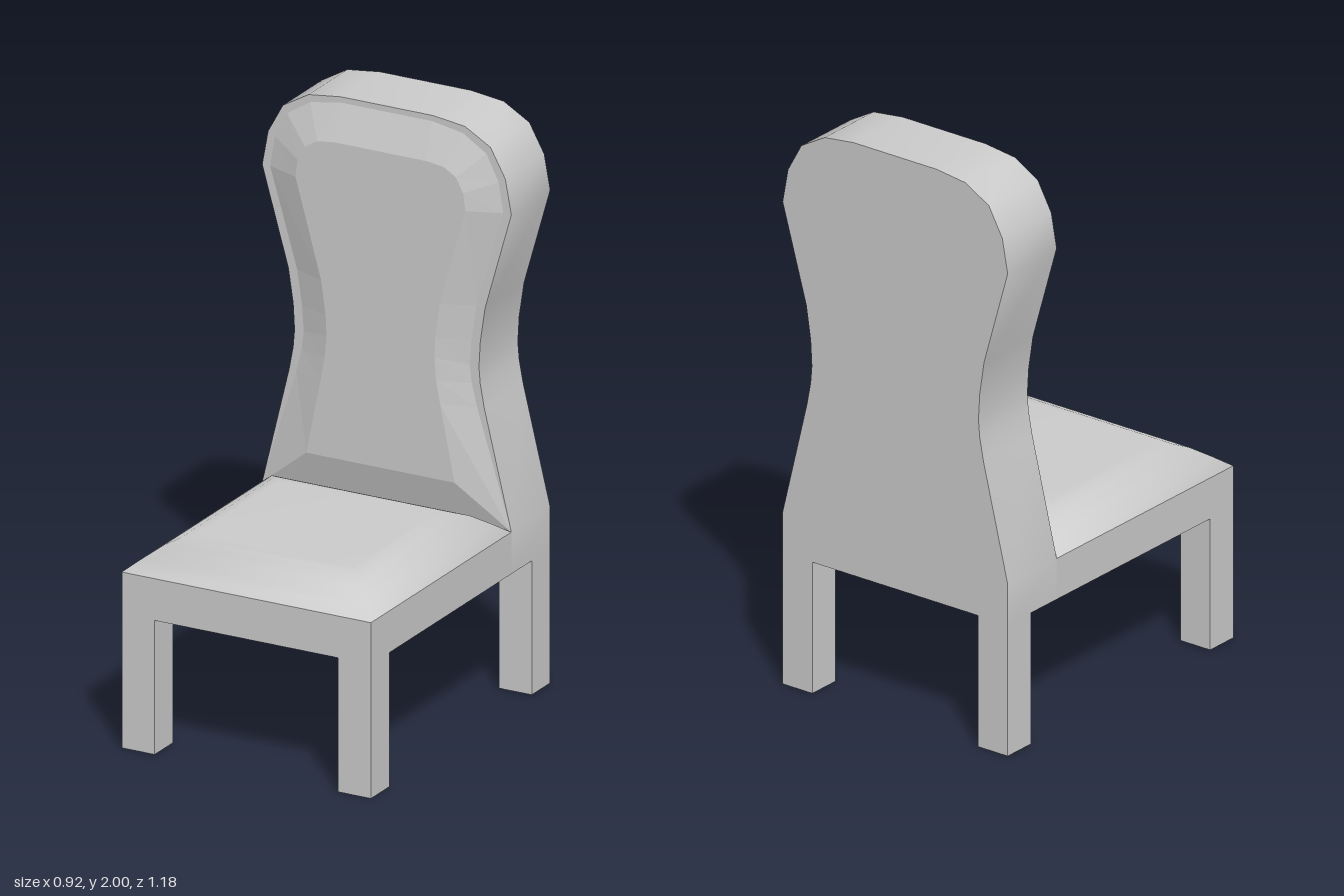
import * as THREE from 'three';
import { toCreasedNormals } from 'three/addons/utils/BufferGeometryUtils.js';

// Right half of an outline, listed bottom to top, closed by its mirror image
const mirrored = (half) => [...half, ...half.map(([x, y]) => [-x, y]).reverse()];

// Skin stacked rings (each { pts: [[x, y]...], z }) and close the last one with a fan
function loft(rings, [cx, cy]) {
  const n = rings[0].pts.length;
  const pos = [], idx = [];
  for (const { pts, z } of rings) for (const [x, y] of pts) pos.push(x, y, z);
  const last = (rings.length - 1) * n;
  const centre = rings.length * n;
  pos.push(cx, cy, rings[rings.length - 1].z);
  for (let i = 0; i < n; i++) {
    const j = (i + 1) % n;
    for (let r = 0; r < last; r += n) {
      idx.push(r + i, r + j, r + n + j, r + i, r + n + j, r + n + i);
    }
    idx.push(last + i, last + j, centre);
  }
  const geo = new THREE.BufferGeometry();
  geo.setAttribute('position', new THREE.Float32BufferAttribute(pos, 3));
  geo.setIndex(idx);
  geo.computeVertexNormals();
  return geo;
}

export function createModel() {
  const chair = new THREE.Group();
  chair.name = 'chair';
  const smooth = new THREE.MeshStandardMaterial({ color: 0xcccccc });
  const faceted = new THREE.MeshStandardMaterial({ color: 0xcccccc, flatShading: true });

  const add = (name, geo, mat = smooth) => {
    const mesh = new THREE.Mesh(geo, mat);
    mesh.name = name;
    chair.add(mesh);
    return mesh;
  };

  const W = 0.462, D = 0.592;             // half width and half depth
  const apron = 0.465, seat = 0.61;       // underside and top of the seat frame
  const backFront = -0.335, padFront = -0.293;
  const leg = 0.122;

  // Four square legs
  for (const sx of [-1, 1]) for (const sz of [-1, 1]) {
    const name = (sz > 0 ? 'front' : 'back') + (sx > 0 ? 'Left' : 'Right') + 'Leg';
    add(name, new THREE.BoxGeometry(leg, apron, leg))
      .position.set(sx * (W - leg / 2), apron / 2, sz * (D - leg / 2));
  }

  // Seat frame in front of the backrest
  add('seatFrame', new THREE.BoxGeometry(2 * W, seat - apron, D - backFront))
    .position.set(0, (seat + apron) / 2, (D + backFront) / 2);

  // Domed seat cushion, inset in steps as it rises
  const midZ = (D + backFront) / 2, halfZ = (D - backFront) / 2;
  const cushionRings = [[0, 0, 0], [0.045, 0.05, 0.037], [0.095, 0.105, 0.075], [0.135, 0.15, 0.094], [0.17, 0.19, 0.1]]
    .map(([ix, iz, h]) => ({ pts: mirrored([[W - ix, iz - halfZ], [W - ix, halfZ - iz]]), z: h }));
  const cushion = loft(cushionRings, [0, 0]);
  cushion.rotateX(-Math.PI / 2);
  add('seatCushion', cushion).position.set(0, seat, midZ);

  // Waisted backrest with a rounded top
  const outline = mirrored([
    [W, apron], [W, seat], [0.362, 1.02], [0.347, 1.1], [0.342, 1.16], [0.347, 1.25], [0.365, 1.37],
    [W, 1.71], [0.44, 1.83], [0.385, 1.93], [0.29, 1.985], [0.17, 2],
  ]);
  const backShape = new THREE.Shape(outline.map(([x, y]) => new THREE.Vector2(x, y)));
  const back = new THREE.ExtrudeGeometry(backShape, { depth: D + backFront, bevelEnabled: false });
  add('backrest', toCreasedNormals(back, 0.6)).position.z = -D;

  // Bevelled pad on the front of the backrest
  const padEdge = mirrored([
    [W, seat], [0.335, 1.02], [0.315, 1.1], [0.308, 1.16], [0.314, 1.25], [0.332, 1.37],
    [0.432, 1.71], [0.415, 1.815], [0.37, 1.905], [0.283, 1.96], [0.17, 1.98],
  ]);
  const padFace = mirrored([
    [0.275, 0.76], [0.222, 1.02], [0.207, 1.1], [0.2, 1.18], [0.203, 1.25], [0.22, 1.37],
    [0.315, 1.71], [0.307, 1.77], [0.28, 1.82], [0.235, 1.848], [0.17, 1.856],
  ]);
  add('backPad', loft([{ pts: padEdge, z: backFront }, { pts: padFace, z: padFront }], [0, 1.25]), faceted);

  return chair;
}
